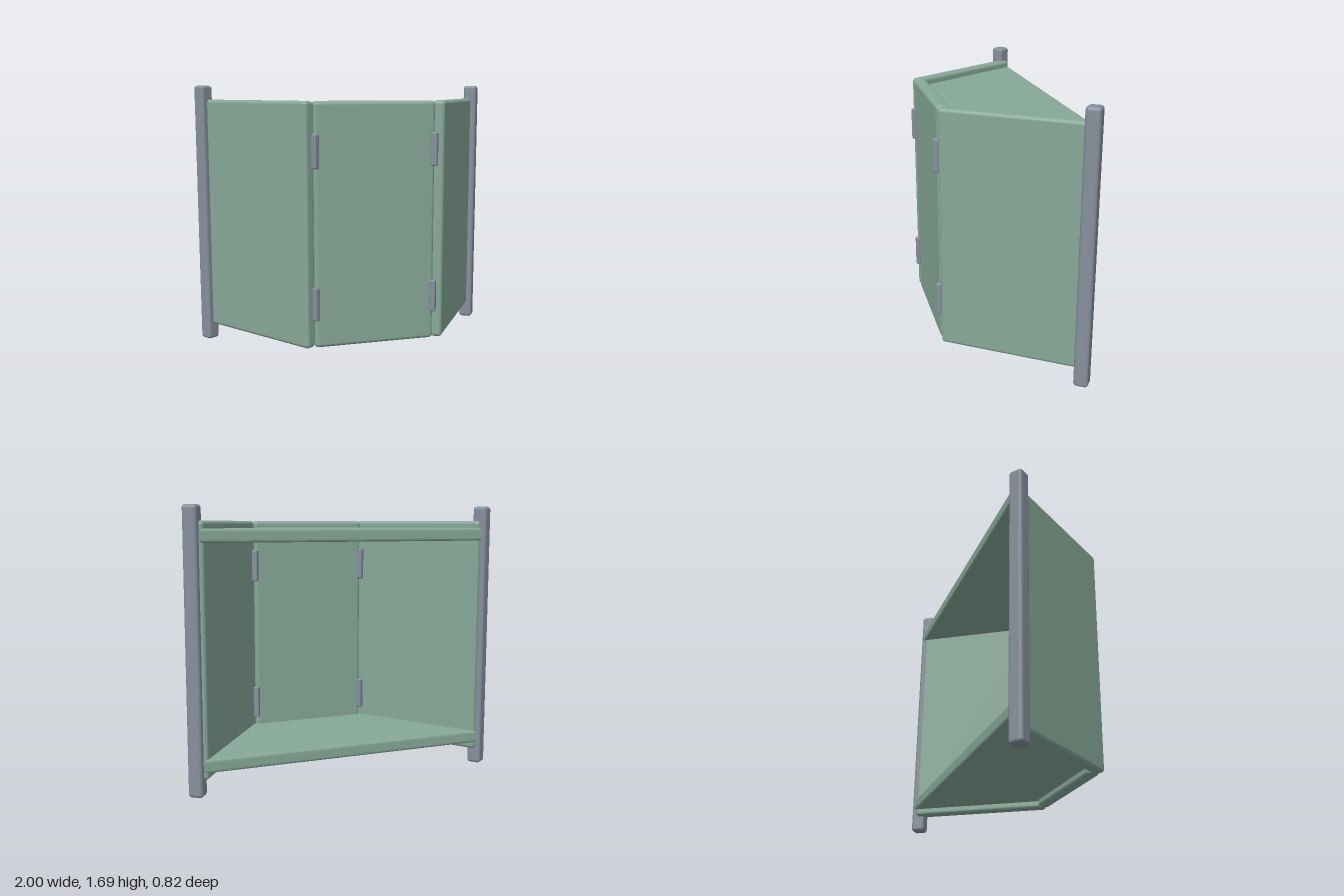
import * as THREE from 'three';
import { RoundedBoxGeometry } from 'three/addons/geometries/RoundedBoxGeometry.js';

export function createModel() {
  const green = new THREE.MeshStandardMaterial({ color: 0x86a898 });
  green.name = 'sage green';
  const grey = new THREE.MeshStandardMaterial({ color: 0x858f9c });
  grey.name = 'slate grey';

  const model = new THREE.Group();
  model.name = 'foldedScreenShelf';
  const turn = 0.964; // angle of the side panels

  function add(name, geometry, material, x, y, z, ry = 0) {
    const mesh = new THREE.Mesh(geometry, material);
    mesh.name = name;
    mesh.position.set(x, y, z);
    mesh.rotation.y = ry;
    model.add(mesh);
    return mesh;
  }

  // Front panel
  add('frontPanel', new RoundedBoxGeometry(0.766, 1.5, 0.08, 4, 0.024), green, 0, 0.85, 0.343);

  // Angled side panels, corner posts and hinges, mirrored
  const sidePanel = new RoundedBoxGeometry(0.916, 1.5, 0.076, 4, 0.022);
  const post = new RoundedBoxGeometry(0.089, 1.69, 0.089, 4, 0.02);
  const hinge = new RoundedBoxGeometry(0.038, 0.206, 0.038, 3, 0.009);
  for (const [side, s] of [['left', 1], ['right', -1]]) {
    add(side + 'Panel', sidePanel, green, s * 0.665, 0.85, -0.006, s * turn);
    add(side + 'Post', post, grey, s * 0.945, 0.845, -0.355, s * turn);
    for (const [level, y] of [['Lower', 0.38], ['Upper', 1.305]]) {
      add(side + level + 'OuterHinge', hinge, grey, s * 0.378, y, 0.385, s * turn);
      add(side + level + 'InnerHinge', hinge, grey, s * 0.382, y, 0.304, s * turn);
    }
  }

  // Trapezoid shelves with softened edges, set in from the panel ends
  const outline = new THREE.Shape([
    new THREE.Vector2(-0.405, -0.325),
    new THREE.Vector2(0.405, -0.325),
    new THREE.Vector2(0.915, 0.405),
    new THREE.Vector2(-0.915, 0.405),
  ]);
  const bevel = 0.018;
  const shelf = new THREE.ExtrudeGeometry(outline, {
    depth: 0.08 - 2 * bevel,
    bevelSize: bevel,
    bevelThickness: bevel,
    bevelOffset: -bevel,
    bevelSegments: 4,
  });
  shelf.rotateX(-Math.PI / 2);
  add('bottomShelf', shelf, green, 0, 0.145 + bevel, 0);
  add('topShelf', shelf, green, 0, 1.475 + bevel, 0);

  return model;
}
